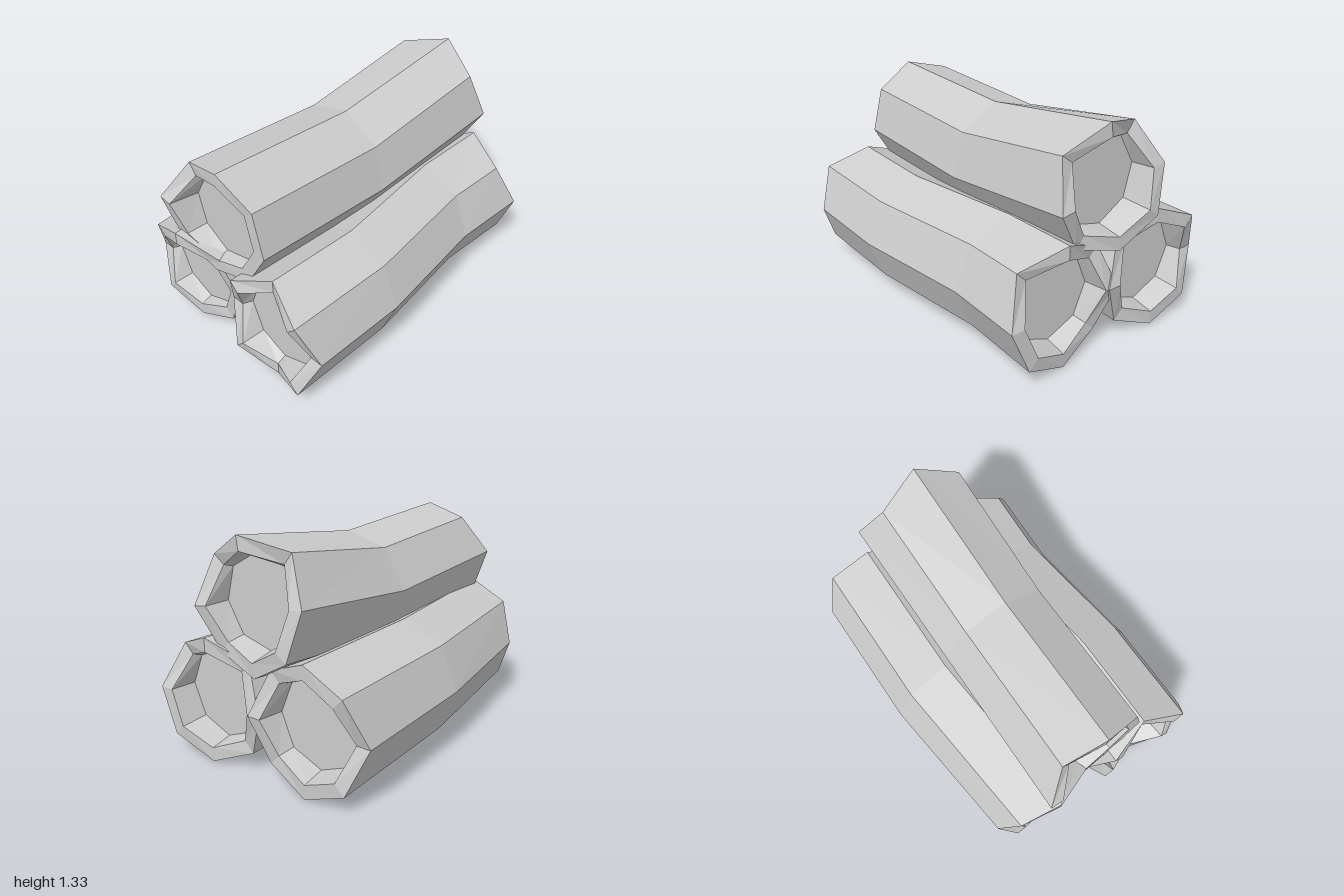
import * as THREE from 'three';

const SIDES = 8;

// Each section is a centre and radius; the rims list the end's uneven z for each corner,
// anticlockwise from +x as seen from the front.
const logs = [
  {
    name: 'rightLog', turn: 0,
    sections: [[-0.28, 0.37, null, 0.35], [-0.38, 0.37, -0.05, 0.362], [-0.38, 0.37, null, 0.37]],
    front: [0.86, 0.9, 0.995, 0.955, 0.87, 0.94, 0.89, 0.85],
    back: [-0.97, -0.9, -0.955, -0.98, -0.9, -0.97, -0.96, -0.92],
  },
  {
    name: 'leftLog', turn: 0,
    sections: [[0.39, 0.37, null, 0.355], [0.39, 0.363, 0.29, 0.352], [0.285, 0.365, -0.47, 0.358], [0.29, 0.37, null, 0.37]],
    front: [0.875, 0.96, 0.875, 0.96, 0.875, 0.96, 0.875, 0.96],
    back: [-0.97, -0.87, -0.965, -0.9, -0.96, -0.9, -0.95, -0.98],
  },
  {
    name: 'topLog', turn: -8,
    sections: [[-0.018, 0.88, null, 0.355], [-0.018, 0.845, -0.03, 0.353], [-0.02, 0.96, null, 0.37]],
    front: [0.875, 0.875, 0.905, 0.875, 0.995, 0.94, 0.9, 0.88],
    back: [-0.965, -0.87, -0.95, -0.85, -0.955, -1.0, -0.97, -0.92],
  },
];

function ring(cx, cy, r, zAt, turn) {
  return Array.from({ length: SIDES }, (_, i) => {
    const a = (i / SIDES) * Math.PI * 2 + THREE.MathUtils.degToRad(turn);
    return new THREE.Vector3(cx + r * Math.cos(a), cy + r * Math.sin(a), zAt(i));
  });
}

// Skin a list of rings running from front to back
function loft(rings) {
  const pos = [];
  const tri = (...pts) => pts.forEach((p) => pos.push(p.x, p.y, p.z));
  for (let k = 0; k < rings.length - 1; k++) {
    for (let i = 0; i < SIDES; i++) {
      const j = (i + 1) % SIDES;
      const [a, b, c, d] = [rings[k][i], rings[k][j], rings[k + 1][j], rings[k + 1][i]];
      if (d !== c && !d.equals(c)) tri(a, d, c);
      if (!a.equals(b)) tri(a, c, b);
    }
  }
  const geo = new THREE.BufferGeometry();
  geo.setAttribute('position', new THREE.Float32BufferAttribute(pos, 3));
  geo.computeVertexNormals();
  return geo;
}

// Bark ring, cut rim and sunken face for one end, listed from the middle outwards
function endRings([cx, cy, , r], rim, floorZ, turn) {
  return [
    ring(cx, cy, 0, () => floorZ, turn),
    ring(cx, cy, r * 0.71, () => floorZ, turn),
    ring(cx, cy, r * 0.775, (i) => rim[i], turn),
    ring(cx, cy, r, (i) => rim[i], turn),
  ];
}

export function createModel() {
  const group = new THREE.Group();
  group.name = 'logPile';
  const wood = new THREE.MeshStandardMaterial({ color: 0xcccccc, flatShading: true });
  wood.name = 'paleGrey';

  for (const { name, turn, sections, front, back } of logs) {
    const bends = sections.slice(1, -1).map(([x, y, z, r]) => ring(x, y, r, () => z, turn));
    const mesh = new THREE.Mesh(loft([
      ...endRings(sections[0], front, 0.82, turn),
      ...bends,
      ...endRings(sections[sections.length - 1], back, -0.82, turn).reverse(),
    ]), wood);
    mesh.name = name;
    group.add(mesh);
  }
  return group;
}
